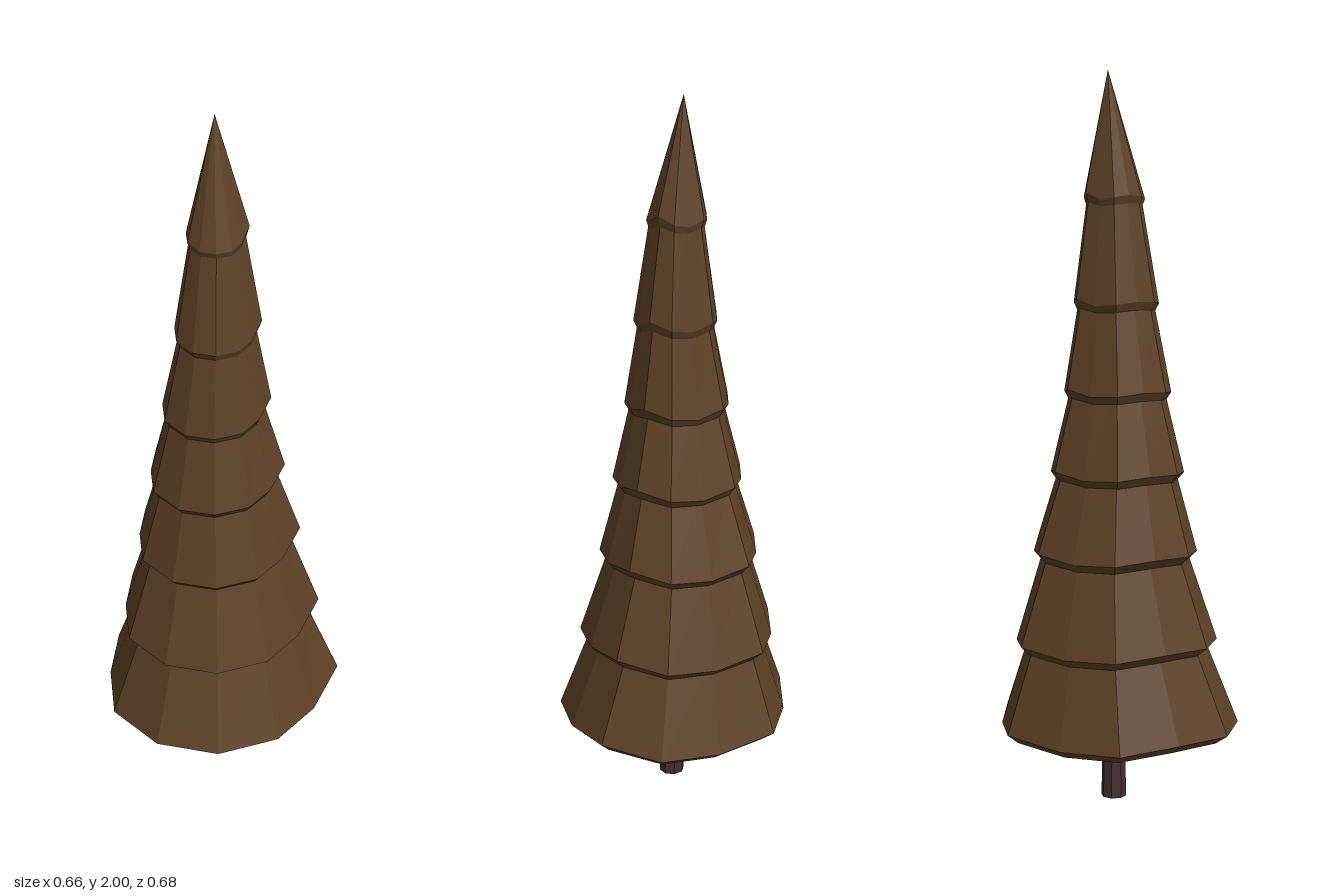
import * as THREE from 'three';

const foliage = new THREE.MeshStandardMaterial({ color: 0x5e4126, flatShading: true });
foliage.name = 'dry brown foliage';
const bark = new THREE.MeshStandardMaterial({ color: 0x432f33, flatShading: true });
bark.name = 'dark bark';

// Uneven twelve-sided outline of the lowest skirt (x, z), and its rim height offsets
const OUTLINE = [
  [0, -0.34], [0.155, -0.26], [0.29, -0.155], [0.33, 0.015], [0.25, 0.17], [0.14, 0.285],
  [-0.03, 0.34], [-0.2, 0.29], [-0.32, 0.16], [-0.33, -0.01], [-0.305, -0.185], [-0.16, -0.28],
];
const LIFT = [0.01, -0.005, 0.005, 0.025, 0, -0.01, -0.01, -0.01, 0, 0.005, 0, -0.005];

// Each skirt: rim height, then rim extents xmin, xmax, zmin, zmax
const TIERS = [
  [0.22, -0.33, 0.33, -0.34, 0.34],
  [0.46, -0.28, 0.27, -0.298, 0.278],
  [0.71, -0.235, 0.213, -0.246, 0.218],
  [0.93, -0.2, 0.167, -0.195, 0.18],
  [1.15, -0.165, 0.127, -0.155, 0.145],
  [1.39, -0.13, 0.1, -0.123, 0.115],
  [1.67, -0.097, 0.066, -0.093, 0.077],
];
const APEX = [-0.022, 2, -0.026];

function ring(tier, scale, y, lift) {
  const [, x0, x1, z0, z1] = tier;
  const cx = (x0 + x1) / 2, cz = (z0 + z1) / 2;
  return OUTLINE.map(([x, z], i) => [
    cx + (x / 0.66) * (x1 - x0) * scale,
    y + LIFT[i] * lift,
    cz + (z / 0.68) * (z1 - z0) * scale,
  ]);
}

// Joins cross-sections from bottom to top into one faceted skin
function loft(rings) {
  const n = rings[0].length, index = [];
  for (let r = 0; r < rings.length - 1; r++) {
    for (let i = 0; i < n; i++) {
      const a = r * n + i, b = r * n + (i + 1) % n, c = a + n, d = b + n;
      index.push(a, c, b, b, c, d);
    }
  }
  const geo = new THREE.BufferGeometry();
  geo.setAttribute('position', new THREE.Float32BufferAttribute(rings.flat(2), 3));
  geo.setIndex(index);
  const flat = geo.toNonIndexed();
  flat.computeVertexNormals();
  return flat;
}

export function createModel() {
  const model = new THREE.Group();
  model.name = 'tree';
  const add = (name, geo, mat) => {
    const mesh = new THREE.Mesh(geo, mat);
    mesh.name = name;
    model.add(mesh);
    return mesh;
  };

  // Stacked skirts: hollow underside, tucked lip, wide rim, sloping face
  TIERS.forEach((tier, t) => {
    const y = tier[0], next = TIERS[t + 1];
    const cx = (tier[1] + tier[2]) / 2, cz = (tier[3] + tier[4]) / 2;
    const top = next ? ring(next, 0.86, next[0] + 0.01, 0) : OUTLINE.map(() => APEX);
    add('foliageTier' + (t + 1), loft([
      OUTLINE.map(() => [cx, y + (t ? 0 : 0.05), cz]),
      ring(tier, 0.9, y - 0.025, 0.8),
      ring(tier, 1, y, 1),
      top,
    ]), foliage);
  });

  // Trunk
  const trunk = add('trunk', new THREE.CylinderGeometry(0.028, 0.035, 0.32, 8), bark);
  trunk.position.set(-0.01, 0.16, 0.002);

  // Bent twig on the left side of the trunk
  const joints = [[0.01, 0.09, 0], [0.06, 0.125, 0.004], [0.086, 0.166, 0.008]]
    .map((p) => new THREE.Vector3(...p));
  const widths = [0.009, 0.006, 0.001];
  for (let i = 0; i < 2; i++) {
    const dir = joints[i + 1].clone().sub(joints[i]);
    const twig = add('twig' + (i + 1),
      new THREE.CylinderGeometry(widths[i + 1], widths[i], dir.length(), 5), bark);
    twig.position.copy(joints[i]).addScaledVector(dir, 0.5);
    twig.quaternion.setFromUnitVectors(new THREE.Vector3(0, 1, 0), dir.normalize());
  }
  return model;
}
